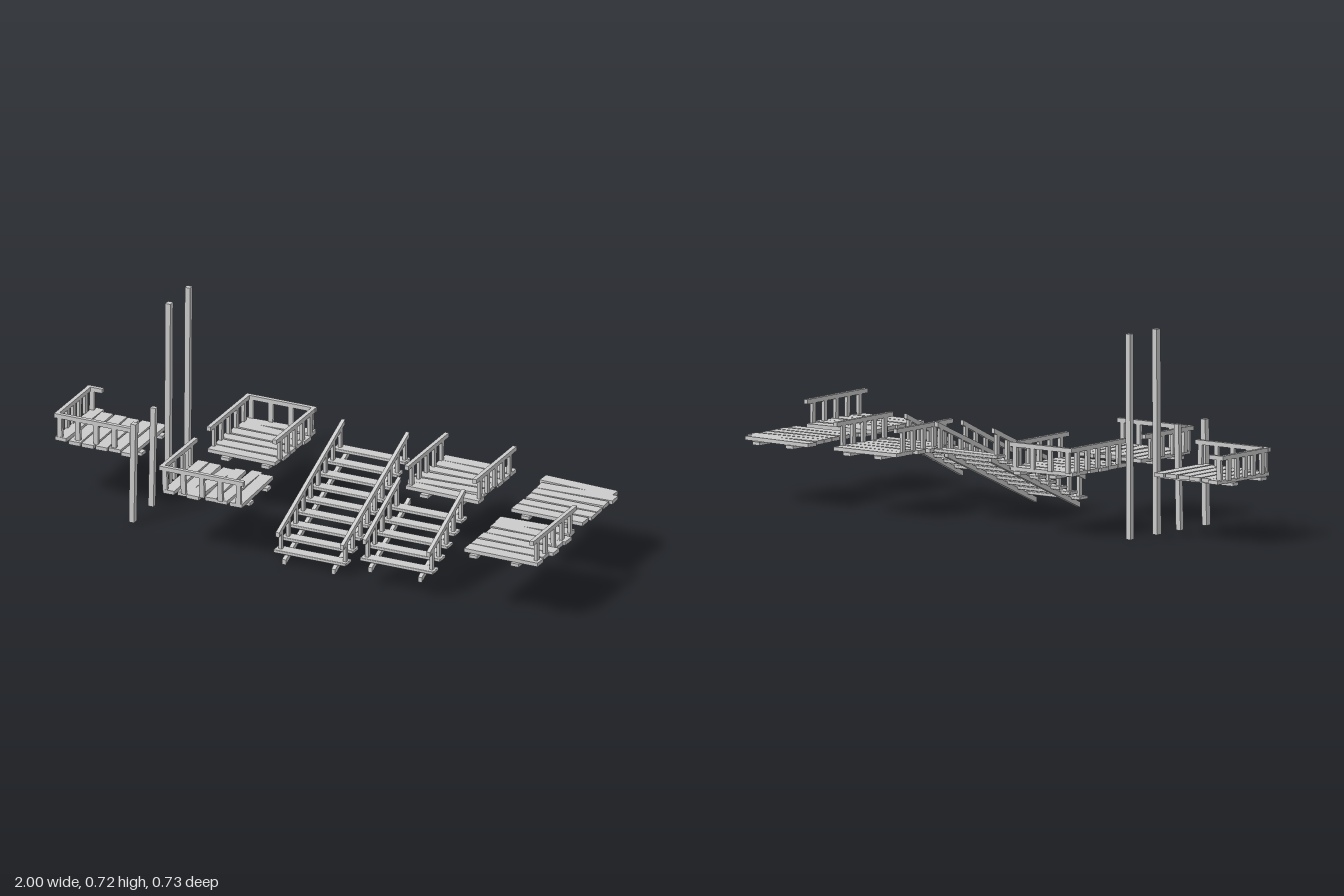
import * as THREE from 'three';
import { RoundedBoxGeometry } from 'three/addons/geometries/RoundedBoxGeometry.js';

const mat = new THREE.MeshStandardMaterial({ color: 0xcccccc, flatShading: true });
let seed = 7;
const jitter = (a) => {
  seed = (seed * 16807) % 2147483647;
  return (seed / 2147483647 - 0.5) * 2 * a;
};

function add(parent, name, geometry, pos = [0, 0, 0], rotY = 0) {
  const m = new THREE.Mesh(geometry, mat);
  m.name = name;
  m.position.set(...pos);
  m.rotation.y = rotY;
  parent.add(m);
}

// Timber from a to b, sheared so its ends stay square to the given axis
function timber(parent, name, a, b, w, h, axis) {
  const i = 'xyz'.indexOf(axis);
  const [lo, hi] = a[i] < b[i] ? [a, b] : [b, a];
  const size = [w, h, axis === 'y' ? h : w];
  size[i] = 1;
  const g = new THREE.BoxGeometry(...size);
  const p = g.attributes.position;
  for (let v = 0; v < p.count; v++) {
    const c = [p.getX(v), p.getY(v), p.getZ(v)];
    const t = c[i] + 0.5;
    c[i] = 0;
    p.setXYZ(v, ...c.map((k, j) => k + lo[j] + (hi[j] - lo[j]) * t));
  }
  g.computeVertexNormals();
  add(parent, name, g);
}

// Rail bar on short uprights, straight along x or z
function railing(parent, axis, from, to, fixed, count) {
  const g = new THREE.Group();
  g.name = 'railing';
  const at = (t, y) => (axis === 'x' ? [t, y, fixed] : [fixed, y, t]);
  timber(g, 'handrail', at(from, 0.312), at(to, 0.312), 0.015, 0.016, axis);
  const pad = (axis === 'x' ? 0.02 : 0.042) * Math.sign(to - from);
  for (let i = 0; i < count; i++) {
    const t = from + pad + ((to - from - 2 * pad) * i) / Math.max(count - 1, 1);
    const [w, d] = axis === 'x' ? [0.018, 0.012] : [0.012, 0.018];
    timber(g, 'baluster', at(t + jitter(0.002), 0.23), at(t, 0.306), w, d, 'y');
  }
  parent.add(g);
}

// Deck of uneven planks on two beams. axis = direction the planks run
function deck(name, axis, [x0, x1, z0, z1], beams, rails) {
  const g = new THREE.Group();
  g.name = name;
  const alongX = axis === 'x';
  const [l0, l1, s0, s1] = alongX ? [x0, x1, z0, z1] : [z0, z1, x0, x1];
  const n = 6, pitch = (s1 - s0) / n;
  for (let i = 0; i < n; i++) {
    const s = s0 + pitch * (i + 0.5);
    const l = (l0 + l1) / 2 + jitter(0.012);
    const len = l1 - l0 - 0.015 + jitter(0.012);
    const w = pitch * 0.87 + jitter(0.004);
    const size = alongX ? [len, 0.014, w] : [w, 0.014, len];
    add(g, 'plank', new THREE.BoxGeometry(...size), alongX ? [l, 0.227, s] : [s, 0.227, l], jitter(0.05));
  }
  for (const b of beams) {
    const len = s1 - s0 + 0.02;
    const mid = (s0 + s1) / 2;
    const size = alongX ? [0.032, 0.012, len] : [len, 0.012, 0.032];
    add(g, 'beam', new THREE.BoxGeometry(...size), alongX ? [b, 0.215, mid] : [mid, 0.215, b]);
  }
  for (const r of rails) railing(g, ...r);
  return g;
}

// Straight stair: round-edged treads on two stringers, with a sloped handrail each side
function stairs(name, o) {
  const g = new THREE.Group();
  g.name = name;
  const line = (z, y) => (k) => y + (z - k) * o.slope;
  const rail = line(o.railZ[0], o.railY);
  const str = line(o.strZ[0], o.strY);
  for (const x of o.stringers)
    timber(g, 'stringer', [x, str(o.strZ[0]), o.strZ[0]], [x, str(o.strZ[1]), o.strZ[1]], 0.015, 0.019, 'z');
  for (const x of o.rails)
    timber(g, 'handrail', [x, rail(o.railZ[0]), o.railZ[0]], [x, rail(o.railZ[1]), o.railZ[1]], 0.014, 0.018, 'z');
  const [x0, x1] = o.x;
  for (let i = 0; i < o.count; i++) {
    const z = o.z - o.run * i, y = o.y + o.rise * i;
    add(g, 'tread', new RoundedBoxGeometry(x1 - x0, 0.012, 0.047, 2, 0.003), [(x0 + x1) / 2, y, z]);
    for (const x of o.rails)
      timber(g, 'baluster', [x, y, z], [x, rail(z), z], 0.012, 0.016, 'y');
  }
  return g;
}

export function createModel() {
  const model = new THREE.Group();
  model.name = 'walkwayKit';

  // Decks: bounds, beam positions, railings [axis, from, to, fixed, balusters]
  model.add(
    deck('deckWest', 'z', [-0.985, -0.675, -0.175, 0.115], [-0.105, 0.055], [
      ['x', -0.99, -0.67, 0.093, 5], ['z', 0.1, -0.172, -0.982, 5], ['x', -0.99, -0.93, -0.165, 1]]),
    deck('deckBack', 'x', [-0.465, -0.185, -0.35, -0.03], [-0.39, -0.235], [
      ['x', -0.465, -0.195, -0.343, 4], ['z', -0.03, -0.35, -0.457, 5], ['z', -0.03, -0.35, -0.203, 5]]),
    deck('deckFront', 'z', [-0.455, -0.15, 0.06, 0.352], [0.14, 0.275], [
      ['x', -0.465, -0.14, 0.338, 5], ['z', 0.345, 0.07, -0.457, 4]]),
    deck('deckTwoRails', 'x', [0.285, 0.58, -0.355, -0.045], [0.37, 0.505], [
      ['z', -0.03, -0.35, 0.305, 5], ['z', -0.03, -0.35, 0.567, 5]]),
    deck('deckPlain', 'x', [0.69, 0.985, -0.345, -0.035], [0.765, 0.91], []),
    deck('deckOneRail', 'x', [0.7, 1.0, 0.03, 0.345], [0.75, 0.91], [['z', 0.36, 0.015, 0.978, 5]]),
  );

  // Stairs
  model.add(
    stairs('longStairs', {
      x: [-0.065, 0.215], stringers: [-0.02, 0.17], rails: [-0.045, 0.203], slope: 0.43,
      strZ: [0.27, -0.235], strY: 0.012, railZ: [0.27, -0.25], railY: 0.11,
      z: 0.241, y: 0.043, run: 0.0585, rise: 0.0248, count: 9 }),
    stairs('shortStairs', {
      x: [0.29, 0.572], stringers: [0.333, 0.525], rails: [0.31, 0.557], slope: 0.46,
      strZ: [0.313, 0.005], strY: 0.068, railZ: [0.313, 0.035], railY: 0.169,
      z: 0.284, y: 0.098, run: 0.0572, rise: 0.0256, count: 5 }),
  );

  // Free-standing support posts: z, height, width, lean
  for (const [z, top, w, lean] of [
    [-0.253, 0.727, 0.019, 0.002], [-0.1, 0.727, 0.023, 0.002],
    [0.025, 0.38, 0.018, -0.002], [0.177, 0.38, 0.023, 0]])
    timber(model, 'supportPost', [-0.648, 0.008, z - lean], [-0.642, top, z + lean], 0.02, w, 'y');

  return model;
}
